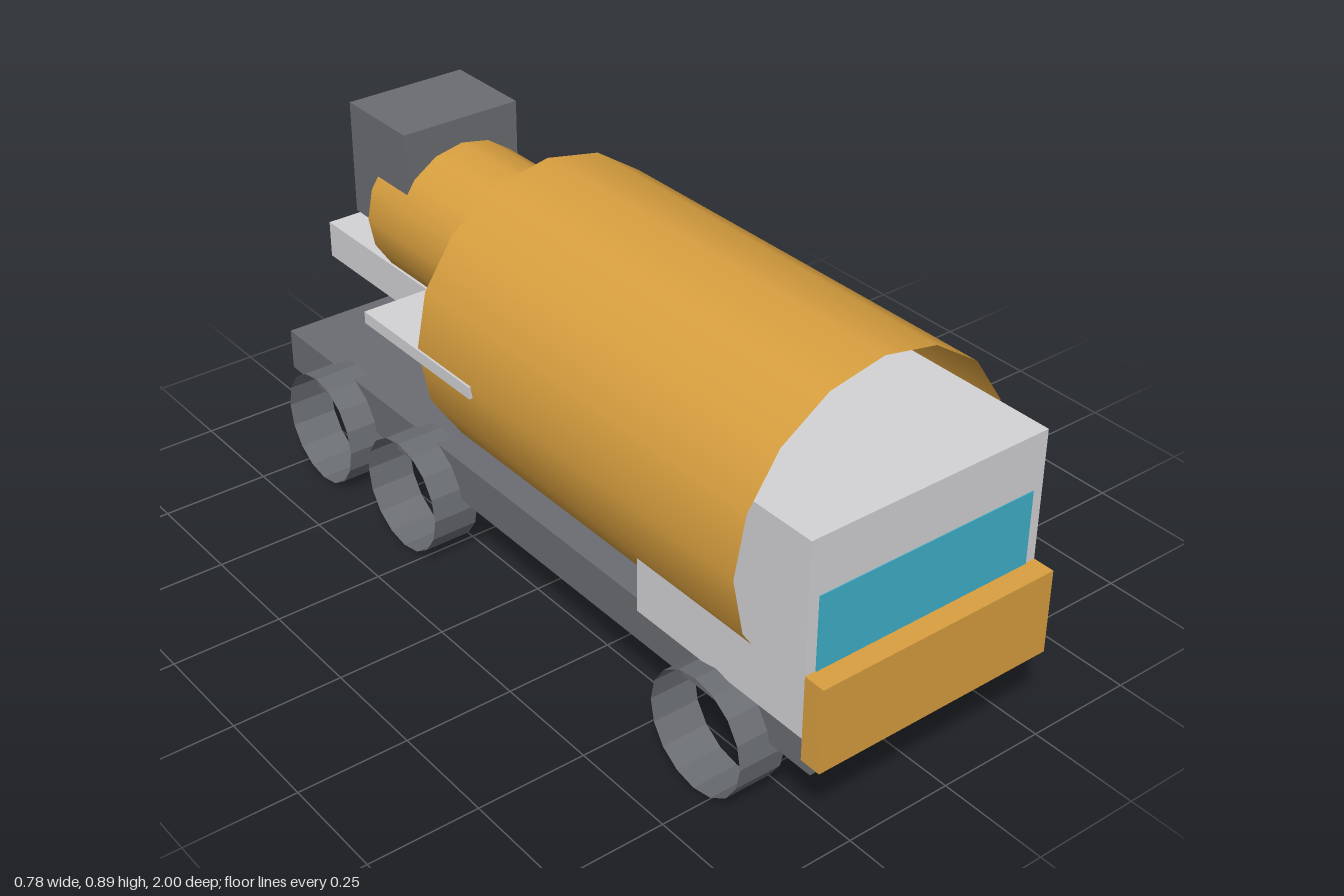
import * as THREE from 'three';

const AXIS_X = -0.047; // centre line of the truck

export function createModel() {
  const model = new THREE.Group();
  model.name = 'mixerTruck';

  const paint = (name, color, extra = {}) => {
    const m = new THREE.MeshStandardMaterial({ color, ...extra });
    m.name = name;
    return m;
  };
  const orange = paint('orange', 0xd89f3f, { side: THREE.DoubleSide });
  const lightGrey = paint('lightGrey', 0xd3d3d5, { side: THREE.DoubleSide, flatShading: true });
  const darkGrey = paint('darkGrey', 0x6a6d72, { side: THREE.DoubleSide, flatShading: true });
  const glass = paint('glass', 0x3fb0c8);

  const add = (name, geometry, material) => {
    const mesh = new THREE.Mesh(geometry, material);
    mesh.name = name;
    model.add(mesh);
    return mesh;
  };

  // Box given by its limits on each axis
  const box = (name, material, [x0, x1], [y0, y1], [z0, z1]) =>
    add(name, new THREE.BoxGeometry(x1 - x0, y1 - y0, z1 - z0), material)
      .position.set((x0 + x1) / 2, (y0 + y1) / 2, (z0 + z1) / 2);

  // Open sixteen-sided tube lying along x or z
  const tube = (name, material, axis, radius, length, x, y, z) => {
    const g = new THREE.CylinderGeometry(radius, radius, length, 16, 1, true);
    if (axis === 'x') g.rotateZ(Math.PI / 2);
    else g.rotateX(Math.PI / 2);
    add(name, g, material).position.set(x, y, z);
  };

  // Chassis, cab and bumper
  box('chassis', darkGrey, [-0.315, 0.22], [0.16, 0.26], [-0.9, 0.95]);
  box('cab', lightGrey, [-0.34, 0.245], [0.26, 0.697], [0.465, 0.95]);
  box('windshield', glass, [-0.315, 0.22], [0.4, 0.57], [0.946, 0.952]);
  box('bumper', orange, [-0.34, 0.245], [0.21, 0.403], [0.95, 1]);

  // Mixing drum and its narrower rear neck
  tube('drum', orange, 'z', 0.342, 1.02, AXIS_X, 0.551, 0.295);
  tube('drumNeck', orange, 'z', 0.18, 0.44, AXIS_X, 0.628, -0.435);

  // Rear hopper, discharge chute and cross platform
  box('hopper', darkGrey, [-0.195, 0.1], [0.6, 0.867], [-0.757, -0.537]);
  box('chute', lightGrey, [-0.132, 0.038], [0.36, 0.45], [-1, -0.562]);
  box('platform', lightGrey, [-0.393, 0.298], [0.528, 0.556], [-0.415, -0.02]);

  // Water tank on the left side
  tube('waterTank', lightGrey, 'x', 0.108, 0.25, 0.265, 0.453, 0.313);

  // Three pairs of wheels
  for (const z of [0.706, -0.316, -0.66]) {
    for (const side of [-1, 1]) {
      tube('wheel', darkGrey, 'x', 0.134, 0.11, AXIS_X + side * 0.287, 0.134, z);
    }
  }

  return model;
}
